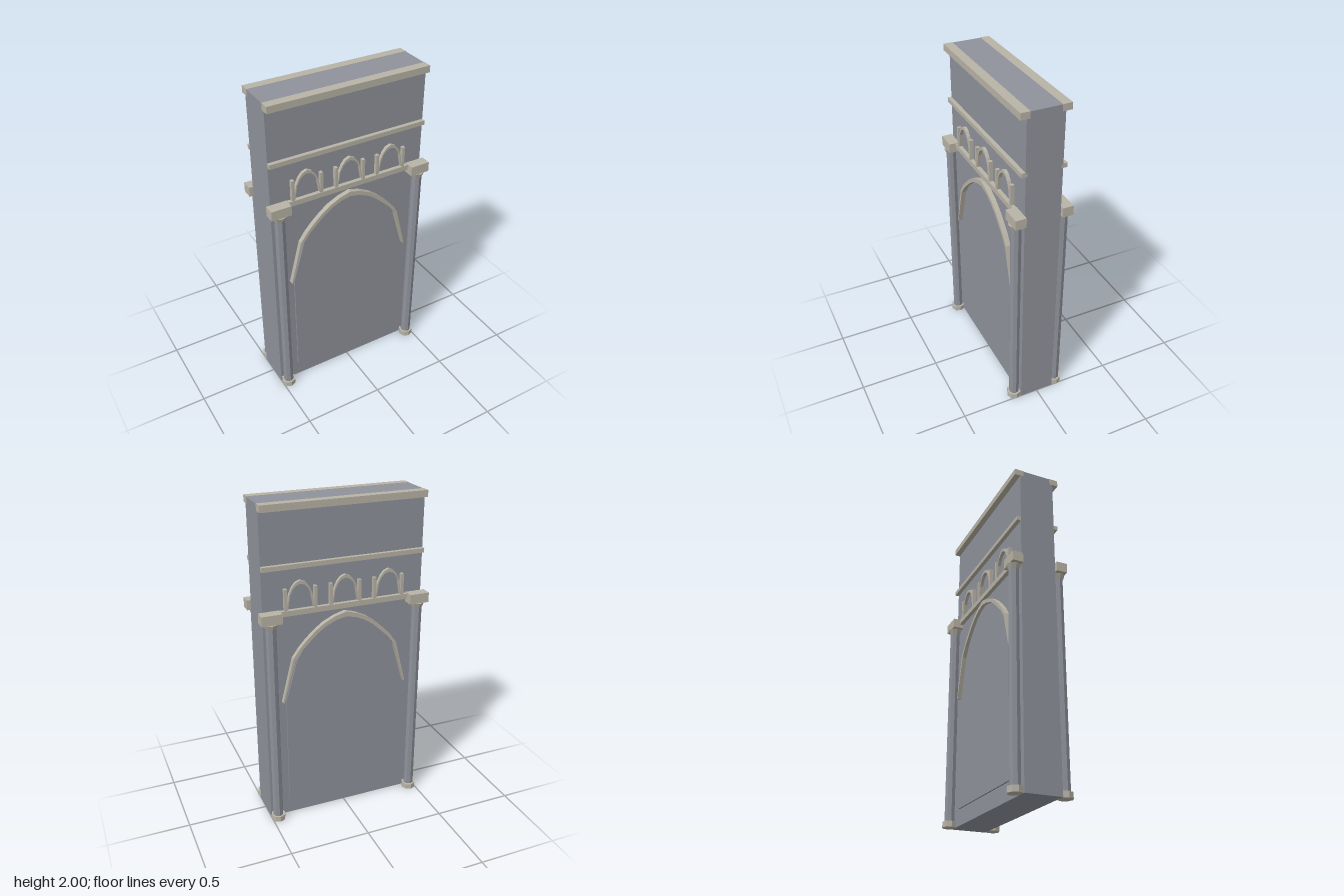
import * as THREE from 'three';

const stone = new THREE.MeshStandardMaterial({ color: 0x8f929b });
stone.name = 'slate stone';
const trim = new THREE.MeshStandardMaterial({ color: 0xb8b3a6 });
trim.name = 'pale trim';

function add(parent, name, geometry, material, x = 0, y = 0, z = 0) {
  const mesh = new THREE.Mesh(geometry, material);
  mesh.name = name;
  mesh.position.set(x, y, z);
  parent.add(mesh);
  return mesh;
}

// Box given by its limits on each axis
function block(parent, name, material, [x0, x1], [y0, y1], [z0, z1]) {
  return add(parent, name, new THREE.BoxGeometry(x1 - x0, y1 - y0, z1 - z0), material,
    (x0 + x1) / 2, (y0 + y1) / 2, (z0 + z1) / 2);
}

// Mirror a right-hand half outline (foot to apex) into a full left-to-right outline
function mirrored(half) {
  const left = half.map(([x, y]) => [-x, y]);
  return [...left, ...half.slice(0, -1).reverse()];
}

function plate(points, z0, z1) {
  const shape = new THREE.Shape(points.map(([x, y]) => new THREE.Vector2(x, y)));
  const geometry = new THREE.ExtrudeGeometry(shape, { depth: z1 - z0, bevelEnabled: false });
  return geometry.translate(0, 0, z0);
}

// Strip between an outer and an inner arch outline
function archBand(outer, inner, z0, z1) {
  return plate([...mirrored(outer), ...mirrored(inner).reverse()], z0, z1);
}

// Octagonal prism with a corner facing forward
function octagon(rTop, rBottom, height) {
  return new THREE.CylinderGeometry(rTop, rBottom, height, 8).toNonIndexed();
}

function column(side) {
  const g = new THREE.Group();
  g.name = 'column';
  const parts = [
    ['columnBase', 0.045, 0.045, 0, 0.035, trim],
    ['columnShaft', 0.032, 0.032, 0.035, 1.3, stone],
    ['columnCapital', 0.045, 0.032, 1.3, 1.33, trim],
  ];
  for (const [name, rTop, rBottom, y0, y1, material] of parts) {
    const geometry = octagon(rTop, rBottom, y1 - y0);
    geometry.computeVertexNormals();
    add(g, name, geometry, material, 0, (y0 + y1) / 2, 0);
  }
  block(g, 'impostBlock', trim, [-0.062, 0.062], [1.33, 1.39], [-0.033, 0.033]);
  g.position.set(side * 0.462, 0, 0.143);
  return g;
}

function smallArch(x) {
  const g = new THREE.Group();
  g.name = 'smallArch';
  const outer = [[0.084, 1.39], [0.07, 1.478], [0.052, 1.518], [0.03, 1.545], [0, 1.558]];
  const inner = [[0.078, 1.39], [0.063, 1.475], [0.046, 1.508], [0.027, 1.528], [0, 1.538]];
  add(g, 'smallArchBand', archBand(outer, inner, 0.105, 0.13), trim);
  for (const s of [-1, 1]) {
    add(g, 'smallArchPost', new THREE.BoxGeometry(0.018, 0.13, 0.03), trim, s * 0.09, 1.45, 0.118);
  }
  g.position.x = x;
  return g;
}

function face(name) {
  const g = new THREE.Group();
  g.name = name;

  // Raised pointed panel
  const panel = [[0.375, 0.1], [0.375, 0.81], [0.3, 1.07], [0.25, 1.15], [0.2, 1.2],
    [0.12, 1.265], [0.06, 1.29], [0, 1.303]];
  add(g, 'archPanel', plate(mirrored(panel).reverse(), 0.1, 0.12), stone);

  // Great arch moulding, tapering to thin feet
  const outer = [[0.402, 0.81], [0.333, 1.085], [0.29, 1.145], [0.243, 1.195], [0.19, 1.243],
    [0.138, 1.281], [0.07, 1.314], [0, 1.334]];
  const inner = [[0.394, 0.81], [0.318, 1.075], [0.27, 1.138], [0.225, 1.181], [0.176, 1.226],
    [0.125, 1.262], [0.062, 1.29], [0, 1.303]];
  add(g, 'greatArchBand', archBand(outer, inner, 0.1, 0.14), trim);

  // Horizontal mouldings
  block(g, 'ledge', trim, [-0.402, 0.402], [1.355, 1.387], [0.1, 0.135]);
  block(g, 'stringCourse', trim, [-0.5, 0.5], [1.63, 1.657], [0.1, 0.135]);
  block(g, 'cornice', trim, [-0.501, 0.501], [1.96, 2], [0.09, 0.146]);

  for (const x of [-0.275, 0, 0.275]) g.add(smallArch(x));
  for (const s of [-1, 1]) g.add(column(s));
  return g;
}

export function createModel() {
  const model = new THREE.Group();
  model.name = 'archedWall';
  block(model, 'wall', stone, [-0.5, 0.5], [0, 1.998], [-0.11, 0.11]);

  // The same decoration on both sides
  const front = face('frontFace');
  const back = face('backFace');
  back.rotation.y = Math.PI;
  model.add(front, back);
  return model;
}
